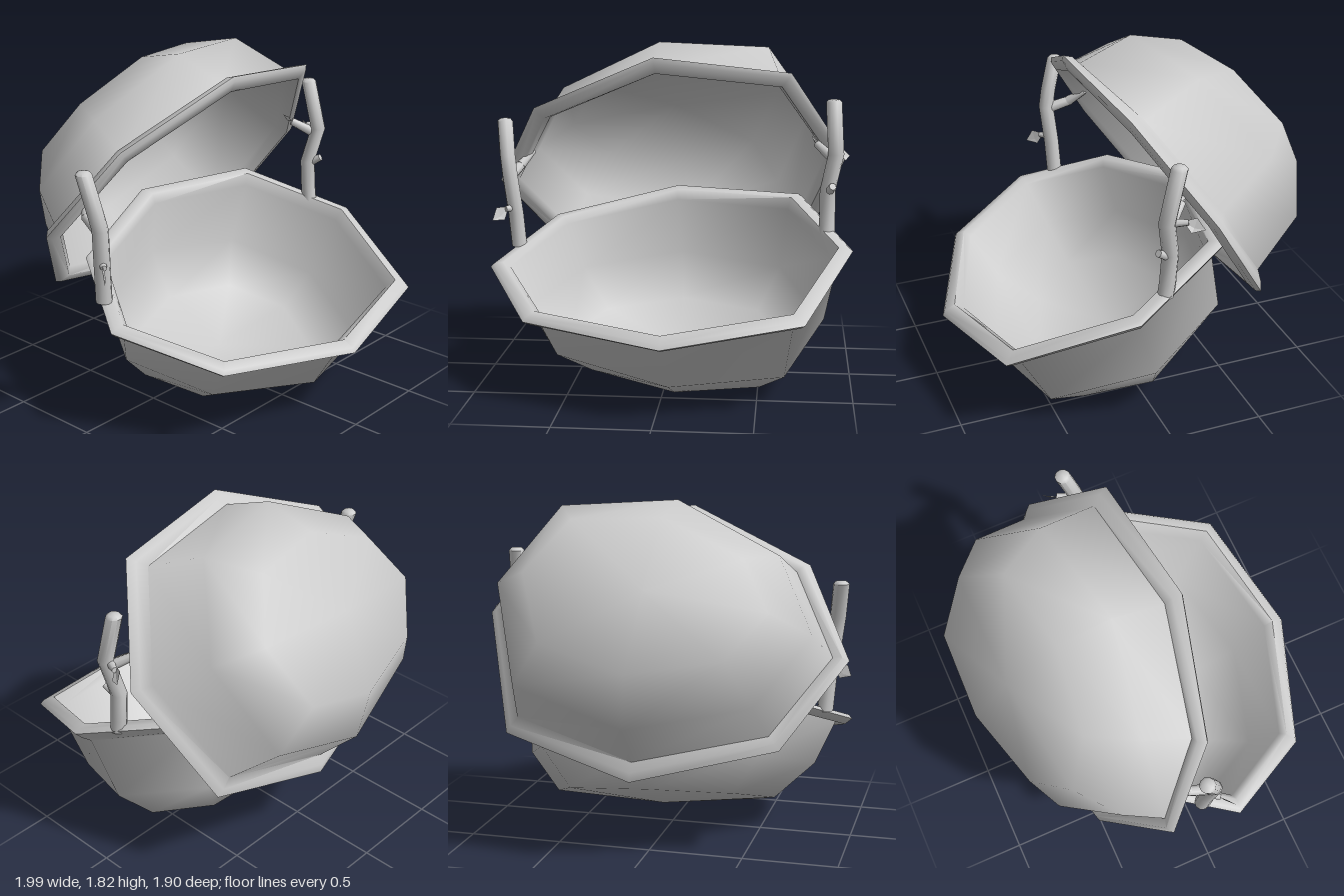
import * as THREE from 'three';
import { toCreasedNormals } from 'three/addons/utils/BufferGeometryUtils.js';

const material = new THREE.MeshStandardMaterial({ color: 0xcccccc });
const thin = new THREE.MeshStandardMaterial({ color: 0xcccccc, side: THREE.DoubleSide });

// Skin a stack of equal-sized rings, ordered from bottom to top
function loft(rings, crease) {
  const n = rings[0].length, index = [];
  for (let i = 0; i < rings.length - 1; i++) {
    for (let j = 0; j < n; j++) {
      const a = i * n + j, b = i * n + (j + 1) % n;
      index.push(a, a + n, b, b, a + n, b + n);
    }
  }
  const g = new THREE.BufferGeometry();
  g.setAttribute('position', new THREE.Float32BufferAttribute(rings.flat(2), 3));
  g.setIndex(index);
  return toCreasedNormals(g, crease);
}

function add(parent, name, geometry, mat = material) {
  const mesh = new THREE.Mesh(geometry, mat);
  mesh.name = name;
  parent.add(mesh);
  return mesh;
}

// Irregular octagon shared by every ring of the shell
const OCTAGON = [[1, -0.04], [0.74, 0.79], [0.02, 1], [-0.72, 0.66],
  [-1, 0], [-0.71, -0.64], [-0.01, -1], [0.72, -0.8]];

// Shell profile: half width, half depth, height, sideways tilt (outer wall, lip, inner wall)
const PROFILE = [
  [0, 0, -0.615, 0], [0.62, 0.43, -0.565, 0.11], [0.815, 0.645, -0.36, 0.1], [0.9, 0.71, -0.055, 0.03],
  [0.95, 0.765, -0.045, 0], [0.985, 0.805, -0.01, 0], [0.965, 0.785, 0.01, 0], [0.91, 0.72, 0.018, 0],
  [0.875, 0.685, -0.03, 0.02], [0.79, 0.62, -0.345, 0.1], [0.6, 0.413, -0.54, 0.11], [0, 0, -0.59, 0],
];

function shell(parent, name, centre, side, opening) {
  const rings = PROFILE.map(([w, d, h, tilt]) =>
    OCTAGON.map(([x, z]) => [x * w, h - tilt * x * w, z * d]));
  const mesh = add(parent, name, loft(rings, 1.1));
  const u = new THREE.Vector3(...side).normalize();
  const v = u.clone().cross(new THREE.Vector3(...opening)).normalize();
  mesh.quaternion.setFromRotationMatrix(new THREE.Matrix4().makeBasis(u, v.clone().cross(u), v));
  mesh.position.set(...centre);
}

// Crooked stem through points, with a closed foot and a rounded tip
function stem(parent, points, radius) {
  const ring = ([x, y, z], r, lift = 0) => Array.from({ length: 10 }, (_, k) => {
    const a = k / 10 * Math.PI * 2;
    return [x + r * Math.cos(a), y + lift, z + r * Math.sin(a)];
  });
  const tip = points[points.length - 1];
  const rings = points.map(p => ring(p, radius));
  rings.unshift(ring(points[0], 0));
  rings.push(ring(tip, radius * 0.7, 0.014), ring(tip, 0, 0.018));
  add(parent, 'stem', loft(rings, 0.9));
}

// Tapered twig between two points
function twig(parent, from, to, r0, r1) {
  const a = new THREE.Vector3(...from), dir = new THREE.Vector3(...to).sub(a);
  const g = new THREE.CylinderGeometry(r1, r0, dir.length(), 8);
  const mesh = add(parent, 'twig', g);
  mesh.position.copy(a).addScaledVector(dir, 0.5);
  mesh.quaternion.setFromUnitVectors(new THREE.Vector3(0, 1, 0), dir.normalize());
}

// Small pointed leaf, folded along its middle
function leaf(parent, from, to, width) {
  const a = new THREE.Vector3(...from), b = new THREE.Vector3(...to);
  const mid = a.clone().lerp(b, 0.5);
  const across = b.clone().sub(a).cross(new THREE.Vector3(1, 0.5, 0.3)).setLength(width);
  const l = mid.clone().add(across), r = mid.clone().sub(across);
  mid.y -= 0.015;
  const g = new THREE.BufferGeometry().setFromPoints([a, mid, l, l, mid, b, a, r, mid, r, b, mid]);
  g.computeVertexNormals();
  add(parent, 'leaf', g, thin);
}

export function createModel() {
  const model = new THREE.Group();

  // Two matching shells, the upper one hinged open
  shell(model, 'lowerShell', [0.012, 0.675, 0.2], [1, 0.06, 0.02], [-0.065, 0.934, 0.347]);
  shell(model, 'upperShell', [-0.015, 1.083, -0.24], [1, 0.07, 0], [0, -0.557, 0.83]);

  // Left branch
  const left = new THREE.Group();
  left.name = 'leftBranch';
  stem(left, [[0.86, 0.79, 0], [0.86, 0.87, -0.01], [0.86, 1.03, -0.02],
    [0.9, 1.23, 0.02], [0.885, 1.505, -0.045]], 0.043);
  twig(left, [0.89, 1.2, 0], [0.8, 1.27, -0.1], 0.03, 0.022);
  twig(left, [0.89, 1.22, 0], [0.93, 1.23, -0.08], 0.024, 0.015);
  leaf(left, [0.91, 1.23, -0.06], [0.98, 1.2, -0.15], 0.04);
  twig(left, [0.865, 1.02, -0.01], [0.885, 1.06, 0.055], 0.026, 0.02);
  leaf(left, [0.8, 1.27, -0.1], [0.77, 1.31, -0.14], 0.025);
  model.add(left);

  // Right branch
  const right = new THREE.Group();
  right.name = 'rightBranch';
  stem(right, [[-0.845, 0.69, 0], [-0.86, 0.88, 0.01], [-0.885, 1.1, 0.03],
    [-0.9, 1.2, 0.01], [-0.92, 1.385, -0.04]], 0.043);
  twig(right, [-0.88, 1.09, 0.01], [-0.85, 1.13, -0.11], 0.032, 0.027);
  twig(right, [-0.85, 1.13, -0.1], [-0.79, 1.2, -0.18], 0.029, 0.015);
  twig(right, [-0.86, 0.91, 0.01], [-0.905, 0.91, 0.07], 0.026, 0.015);
  leaf(right, [-0.89, 0.92, 0.05], [-0.965, 0.855, 0.135], 0.042);
  model.add(right);

  return model;
}
